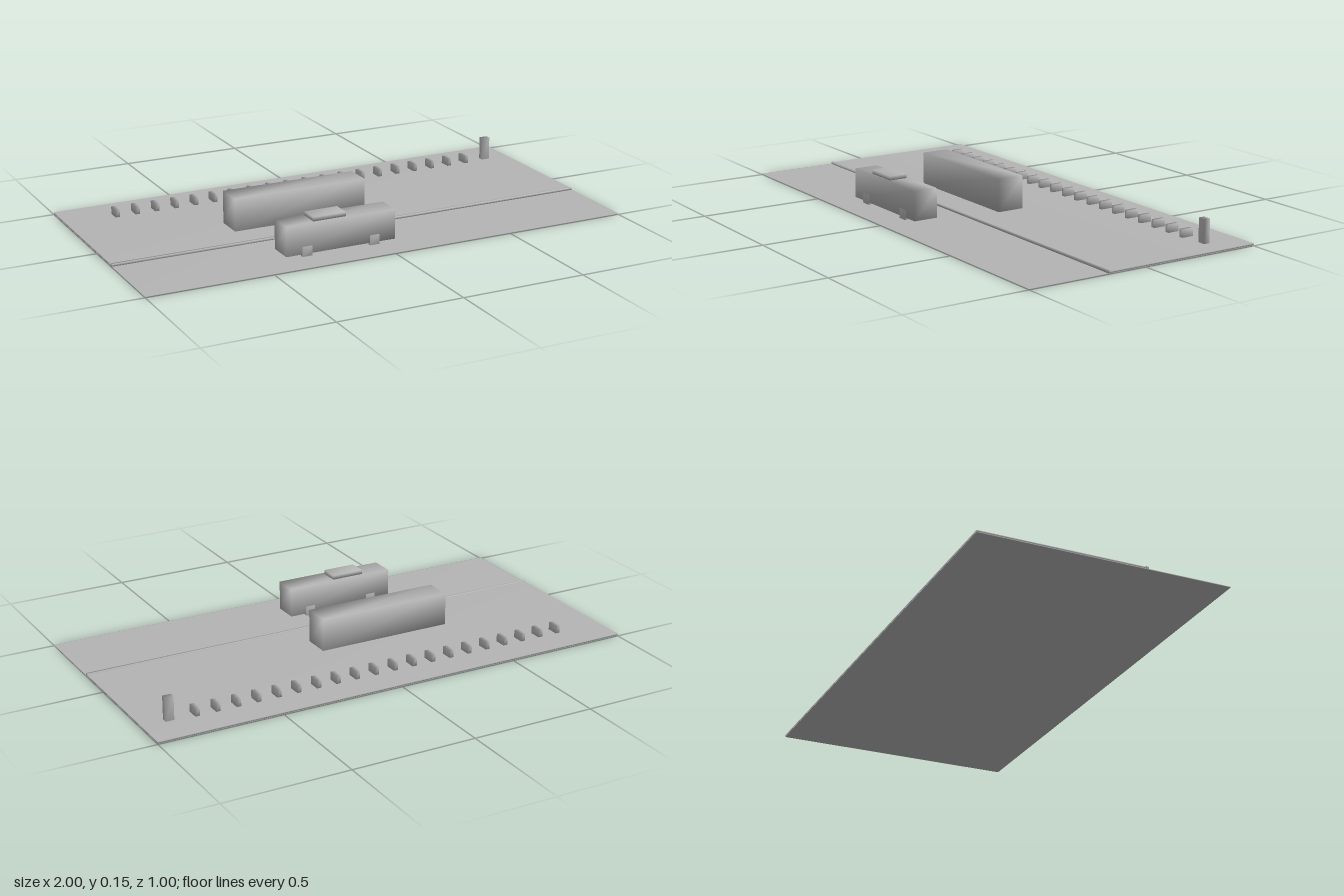
import * as THREE from 'three';
import { mergeVertices } from 'three/addons/utils/BufferGeometryUtils.js';

const grey = new THREE.MeshStandardMaterial({ color: 0xb4b4b4 });
grey.name = 'plainGrey';

// Box between two limits on each axis, with corner normals shared for soft shading
function softBox(name, [x0, x1], [y0, y1], [z0, z1]) {
  let geometry = new THREE.BoxGeometry(x1 - x0, y1 - y0, z1 - z0);
  geometry.deleteAttribute('normal');
  geometry.deleteAttribute('uv');
  geometry = mergeVertices(geometry);
  geometry.computeVertexNormals();
  const mesh = new THREE.Mesh(geometry, grey);
  mesh.name = name;
  mesh.position.set((x0 + x1) / 2, (y0 + y1) / 2, (z0 + z1) / 2);
  return mesh;
}

export function createModel() {
  const model = new THREE.Group();
  model.name = 'busStation';

  // Road, raised pavement and kerb
  model.add(
    softBox('road', [-1, 1], [0, 0.004], [-0.5, 0.5]),
    softBox('pavement', [-1, 1], [0.004, 0.01], [-0.5, 0.16]),
    softBox('kerb', [-1, 1], [0.004, 0.013], [0.154, 0.166]),
  );

  // Long block on the pavement
  model.add(softBox('shelter', [-0.45, 0.11], [0.01, 0.142], [-0.081, 0.032]));

  // Bus with roof unit and four square wheels
  const bus = new THREE.Group();
  bus.name = 'bus';
  bus.add(
    softBox('busBody', [-0.398, 0.058], [0.013, 0.131], [0.283, 0.384]),
    softBox('roofUnit', [-0.28, -0.145], [0.131, 0.148], [0.297, 0.372]),
  );
  for (const x of [-0.312, -0.03]) {
    for (const z of [0.287, 0.38]) {
      bus.add(softBox('wheel', [x - 0.02, x + 0.02], [0.003, 0.043], [z - 0.007, z + 0.007]));
    }
  }
  model.add(bus);

  // Row of twenty bollards along the back
  const bollards = new THREE.Group();
  bollards.name = 'bollards';
  for (let i = 0; i < 20; i++) {
    const x = -0.794 + i * 0.0833;
    bollards.add(softBox('bollard', [x - 0.009, x + 0.009], [0.01, 0.041], [-0.378, -0.329]));
  }
  model.add(bollards);

  // Tall post at the end of the row
  model.add(softBox('post', [0.875, 0.909], [0.01, 0.104], [-0.365, -0.341]));

  return model;
}
